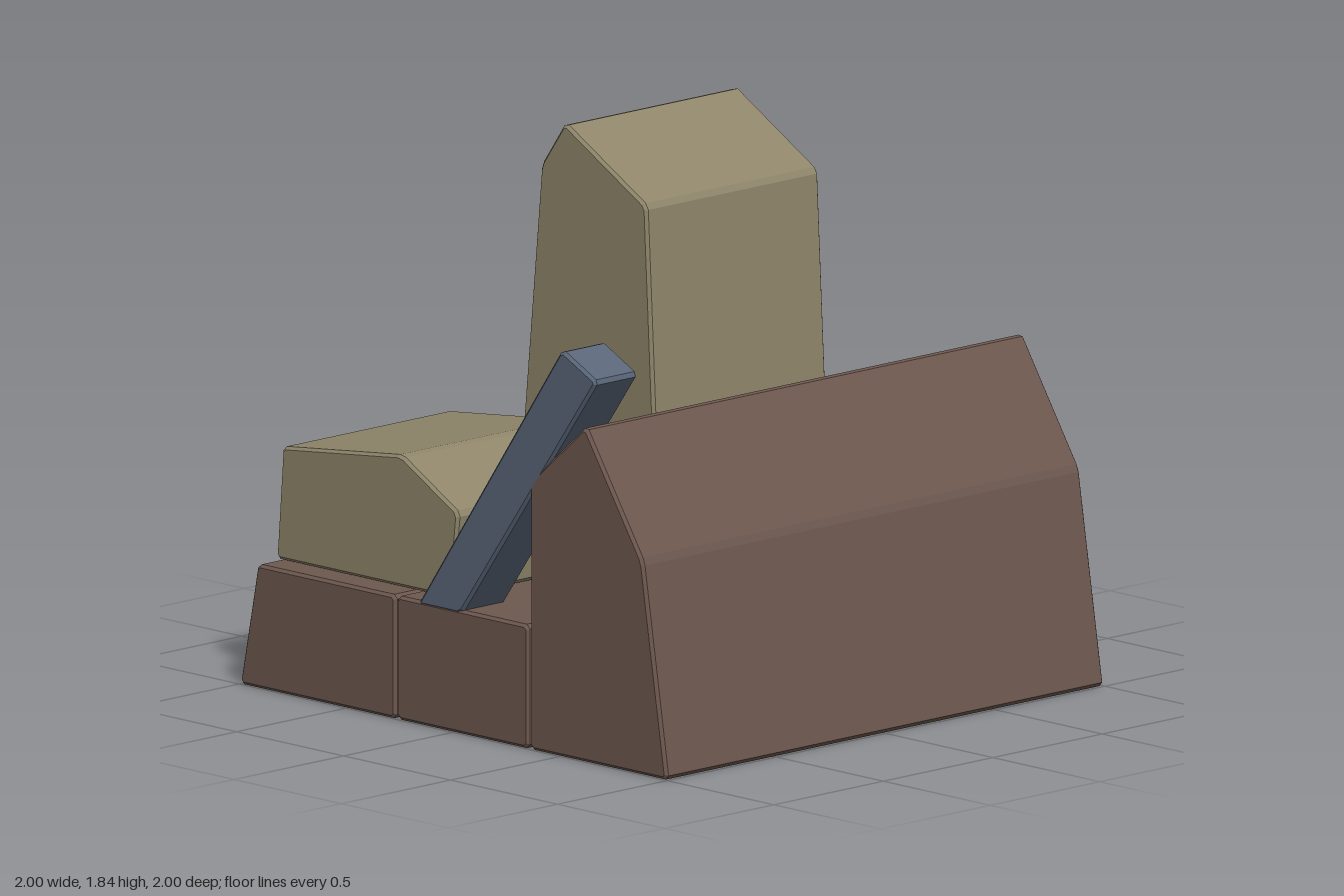
import * as THREE from 'three';

const BEVEL = 0.01;

const brown = new THREE.MeshStandardMaterial({ name: 'brownStone', color: 0x6d584f });
const khaki = new THREE.MeshStandardMaterial({ name: 'khakiStone', color: 0x8e856a });
const slate = new THREE.MeshStandardMaterial({ name: 'slateBlue', color: 0x5a6678 });

// Cuts each corner of an outline back by a small distance
function chamfer(points, cut) {
  const p = points.map(([x, y]) => new THREE.Vector2(x, y));
  const toward = (a, b) => b.clone().sub(a).setLength(cut).add(a);
  return p.flatMap((v, i) => [
    toward(v, p[(i + p.length - 1) % p.length]),
    toward(v, p[(i + 1) % p.length]),
  ]);
}

// Prism with chamfered edges, from a counter-clockwise front outline and a z range
function block(name, material, outline, back, front) {
  const geometry = new THREE.ExtrudeGeometry(new THREE.Shape(chamfer(outline, 0.014)), {
    depth: front - back - 2 * BEVEL,
    bevelEnabled: true,
    bevelSegments: 1,
    bevelSize: BEVEL,
    bevelThickness: BEVEL,
    bevelOffset: -BEVEL,
  });
  geometry.translate(0, 0, back + BEVEL);
  const mesh = new THREE.Mesh(geometry, material);
  mesh.name = name;
  return mesh;
}

export function createModel() {
  const group = new THREE.Group();
  group.name = 'stoneBlocks';
  group.add(
    // Three base blocks, side by side
    block('rightBase', brown, [[-1, 0], [-0.27, 0], [-0.27, 0.415], [-0.918, 0.415]], -1, 1),
    block('middleBase', brown, [[-0.265, 0], [0.35, 0], [0.35, 0.415], [-0.265, 0.415]], -0.44, 1),
    block('leftRidge', brown, [[0.357, 0], [1, 0], [0.885, 0.715], [0.618, 1.125], [0.357, 0.9]], -1, 1),
    // Upper blocks resting on the base
    block('tallBlock', khaki, [[-0.595, 0.415], [0.085, 0.415], [0.022, 1.63], [-0.36, 1.848], [-0.472, 1.69]], -0.65, 0.14),
    block('lowBlock', khaki, [[-0.917, 0.42], [-0.095, 0.42], [-0.063, 0.71], [-0.33, 0.862], [-0.888, 0.8]], 0.15, 0.915),
    // Leaning plank
    block('leaningPlank', slate, [[-0.17, 0.4], [0.035, 0.4], [0.672, 1.28], [0.505, 1.364]], 0.805, 1),
  );
  return group;
}
